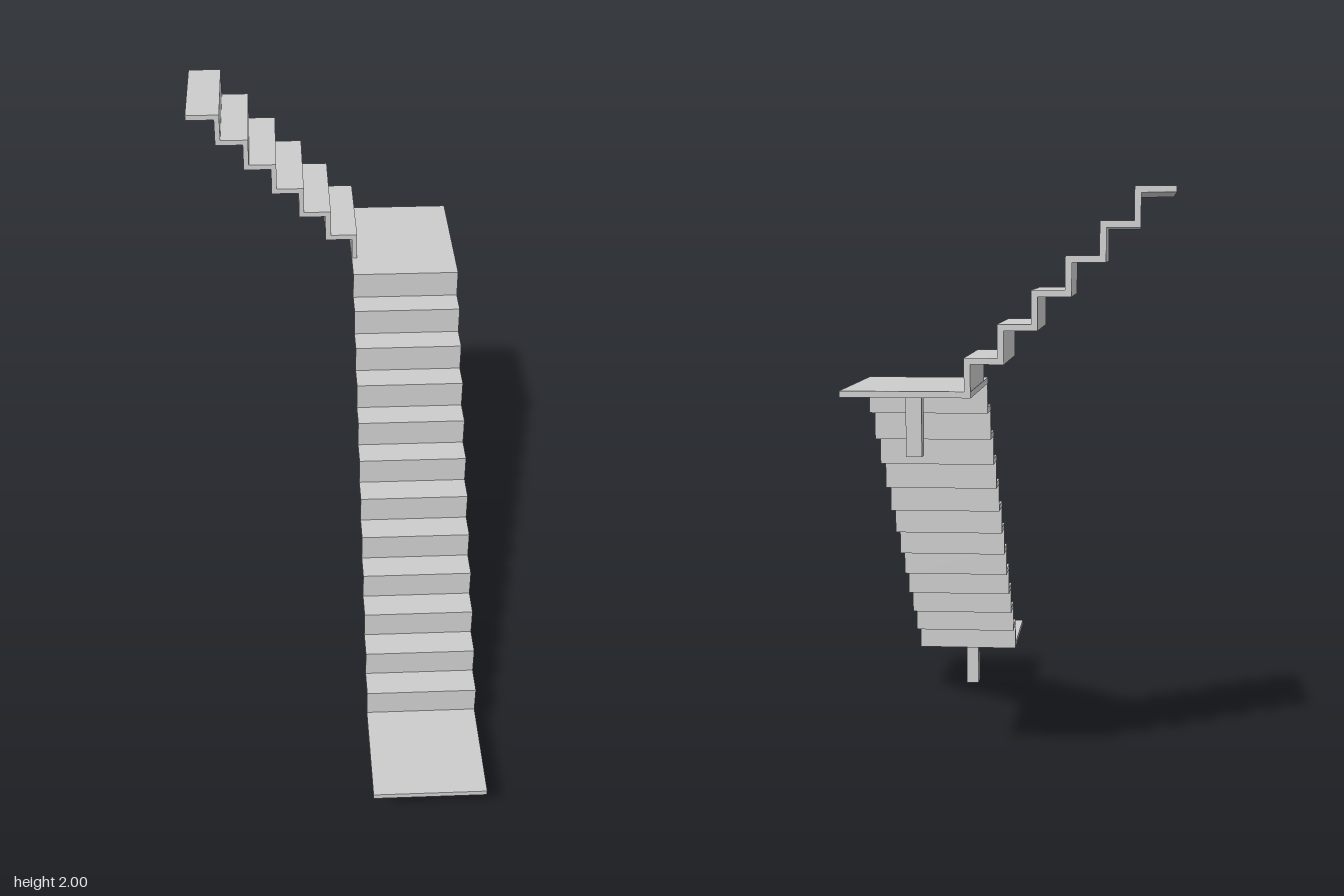
import * as THREE from 'three';

const material = new THREE.MeshStandardMaterial({ color: 0xcccccc, flatShading: true });
const STEP = 0.0988; // rise and going of every step
const T = 0.019;     // slab thickness
const WIDTH = 0.391;

// Folded-plate stair: u runs uphill, y is up. The underside is the top line shifted by T.
function flight(name, { start, firstRiser, end, base, steps }) {
  const top = [], under = [];
  if (start < firstRiser) {
    // lower landing in front of the first riser
    top.push([start, base]);
    under.push([start, base - T]);
  }
  for (let i = 0; i < steps; i++) {
    const u = firstRiser + i * STEP, y = base + i * STEP;
    top.push([u, y], [u, y + STEP]);
    const foot = i === 0 && start >= firstRiser ? y : y - T;
    under.push([u + T, foot], [u + T, y + STEP - T]);
  }
  const yEnd = base + steps * STEP;
  top.push([end, yEnd]);
  under.push([end, yEnd - T]);

  const shape = new THREE.Shape([...top, ...under.reverse()].map(p => new THREE.Vector2(...p)));
  const geometry = new THREE.ExtrudeGeometry(shape, { depth: WIDTH, bevelEnabled: false });
  const mesh = new THREE.Mesh(geometry, material);
  mesh.name = name;
  return mesh;
}

function post(name, topY, z) {
  const height = 0.2;
  const mesh = new THREE.Mesh(new THREE.BoxGeometry(0.049, height, 0.049), material);
  mesh.name = name;
  mesh.position.set(0.295, topY - height / 2, z);
  return mesh;
}

export function createModel() {
  const group = new THREE.Group();
  group.name = 'staircase';

  // Long flight with both landings, climbing towards the back
  const lower = flight('lowerFlight', { start: -0.987, firstRiser: -0.613, end: 0.987, base: 0.221, steps: 12 });
  lower.rotation.y = Math.PI / 2;
  lower.position.x = 0.099;

  // Short flight, turning to the side from the upper landing
  const upper = flight('upperFlight', { start: -0.119, firstRiser: -0.119, end: 0.495, base: 1.4066, steps: 6 });
  upper.rotation.y = Math.PI;
  upper.position.z = -0.596;

  group.add(lower, upper);
  group.add(post('lowerPost', 0.202, 0.793), post('upperPost', 1.3876, -0.79));
  group.children[2].position.y = 0.1;
  return group;
}
